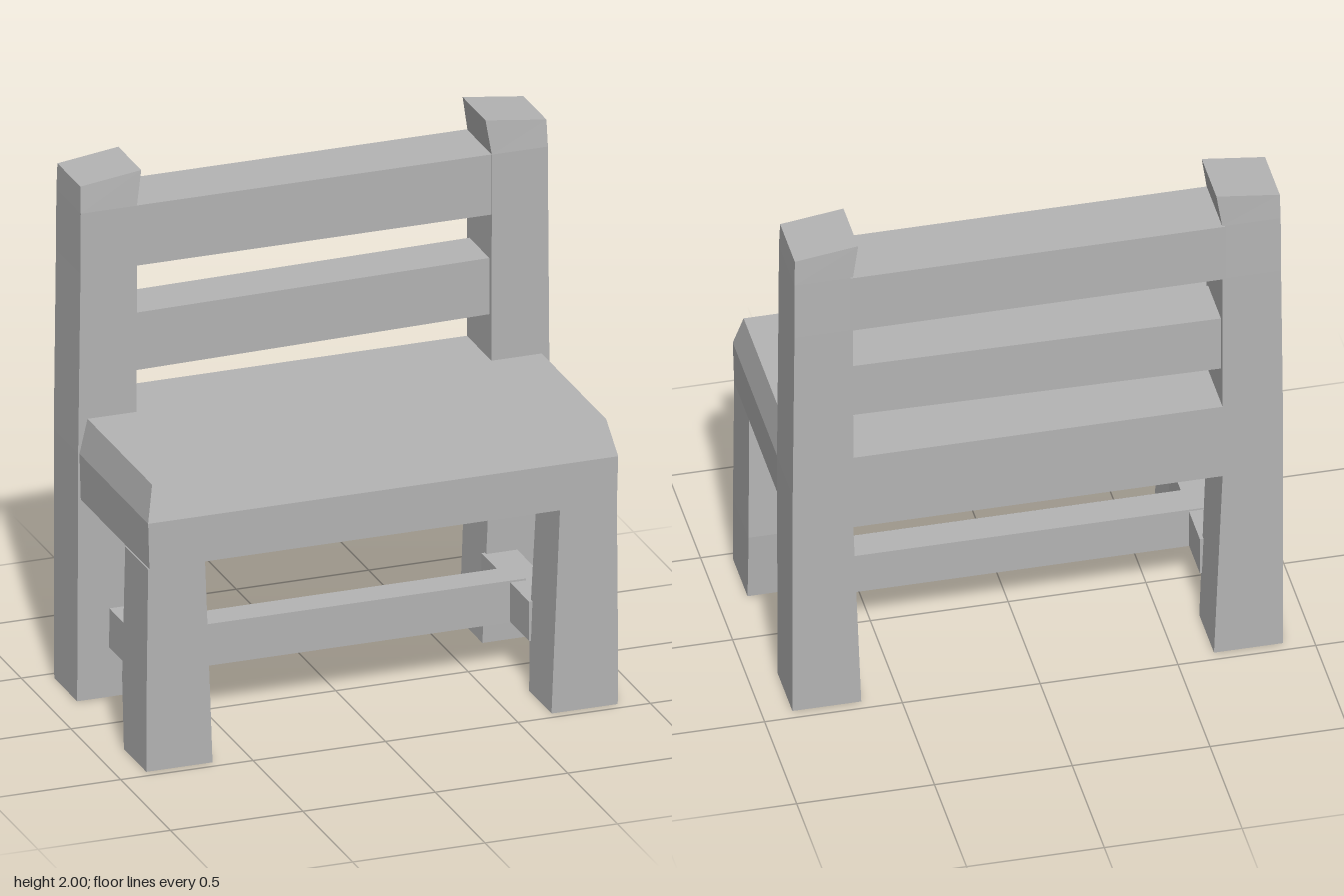
import * as THREE from 'three';

// Solid from stacked four-cornered sections: [x0, x1, z0, z1, y at x0, y at x1 (optional)]
function loft(sections) {
  const rings = sections.map(([x0, x1, z0, z1, ya, yb = ya]) => [
    [x0, ya, z1], [x1, yb, z1], [x1, yb, z0], [x0, ya, z0],
  ]);
  const pos = [];
  const quad = (a, b, c, d) => pos.push(...a, ...b, ...c, ...a, ...c, ...d);
  for (let i = 0; i < rings.length - 1; i++) {
    const lo = rings[i], hi = rings[i + 1];
    for (let k = 0; k < 4; k++) {
      const n = (k + 1) % 4;
      quad(lo[k], lo[n], hi[n], hi[k]);
    }
  }
  const b = rings[0], t = rings[rings.length - 1];
  quad(b[3], b[2], b[1], b[0]);
  quad(t[0], t[1], t[2], t[3]);
  const g = new THREE.BufferGeometry();
  g.setAttribute('position', new THREE.Float32BufferAttribute(pos, 3));
  g.computeVertexNormals();
  return g;
}

// Sections given as [inner x, outer x, z0, z1, inner y, outer y], placed on either side
function sided(s, sections) {
  return loft(sections.map(([xi, xo, z0, z1, yi, yo = yi]) =>
    s > 0 ? [xi, xo, z0, z1, yi, yo] : [-xo, -xi, z0, z1, yo, yi]));
}

export function createModel() {
  const bench = new THREE.Group();
  bench.name = 'bench';
  const grey = new THREE.MeshStandardMaterial({ color: 0xb4b4b4, flatShading: true });
  grey.name = 'plain grey';
  const add = (name, geometry) => {
    const m = new THREE.Mesh(geometry, grey);
    m.name = name;
    bench.add(m);
  };

  // Seat with a chamfered front and sides, and its back apron between the posts
  add('seat', loft([
    [-0.88, 0.885, -0.225, 0.47, 0.775],
    [-0.885, 0.89, -0.225, 0.47, 0.95],
    [-0.855, 0.86, -0.225, 0.43, 1.08],
  ]));
  add('seatBack', loft([
    [-0.67, 0.67, -0.465, -0.225, 0.775],
    [-0.67, 0.67, -0.465, -0.225, 1.08],
  ]));

  // Back rails
  add('topRail', loft([
    [-0.68, 0.68, -0.465, -0.217, 1.64],
    [-0.68, 0.68, -0.465, -0.217, 1.87],
  ]));
  add('middleRail', loft([
    [-0.68, 0.68, -0.44, -0.24, 1.23, 1.25],
    [-0.68, 0.68, -0.44, -0.24, 1.45, 1.465],
  ]));

  for (const s of [1, -1]) {
    const side = s > 0 ? 'left' : 'right';
    // Back post from floor to the flared, slanted top
    add(side + 'BackPost', sided(s, [
      [0.64, 0.89, -0.46, -0.23, 0],
      [0.67, 0.89, -0.465, -0.22, 0.775],
      [0.67, 0.89, -0.465, -0.22, 0.95],
      [0.67, 0.883, -0.462, -0.215, 1.64],
      [0.67, 0.882, -0.46, -0.215, 1.87],
      [0.65, 0.88, -0.455, -0.225, 2.0, 1.97],
    ]));
    // Tapered front leg
    add(side + 'FrontLeg', sided(s, [
      [0.64, 0.89, 0.24, 0.465, 0],
      [0.65, 0.89, 0.222, 0.467, 0.27],
      [0.67, 0.885, 0.24, 0.47, 0.775],
    ]));
    // Side stretcher joining front and back legs
    add(side + 'Stretcher', sided(s, [
      [0.64, 0.77, -0.24, 0.24, 0.19],
      [0.64, 0.77, -0.24, 0.24, 0.34],
    ]));
  }

  // Cross stretcher between the side stretchers
  add('crossStretcher', loft([
    [-0.7, 0.7, -0.07, 0.05, 0.188],
    [-0.7, 0.7, -0.07, 0.05, 0.347],
  ]));
  return bench;
}
